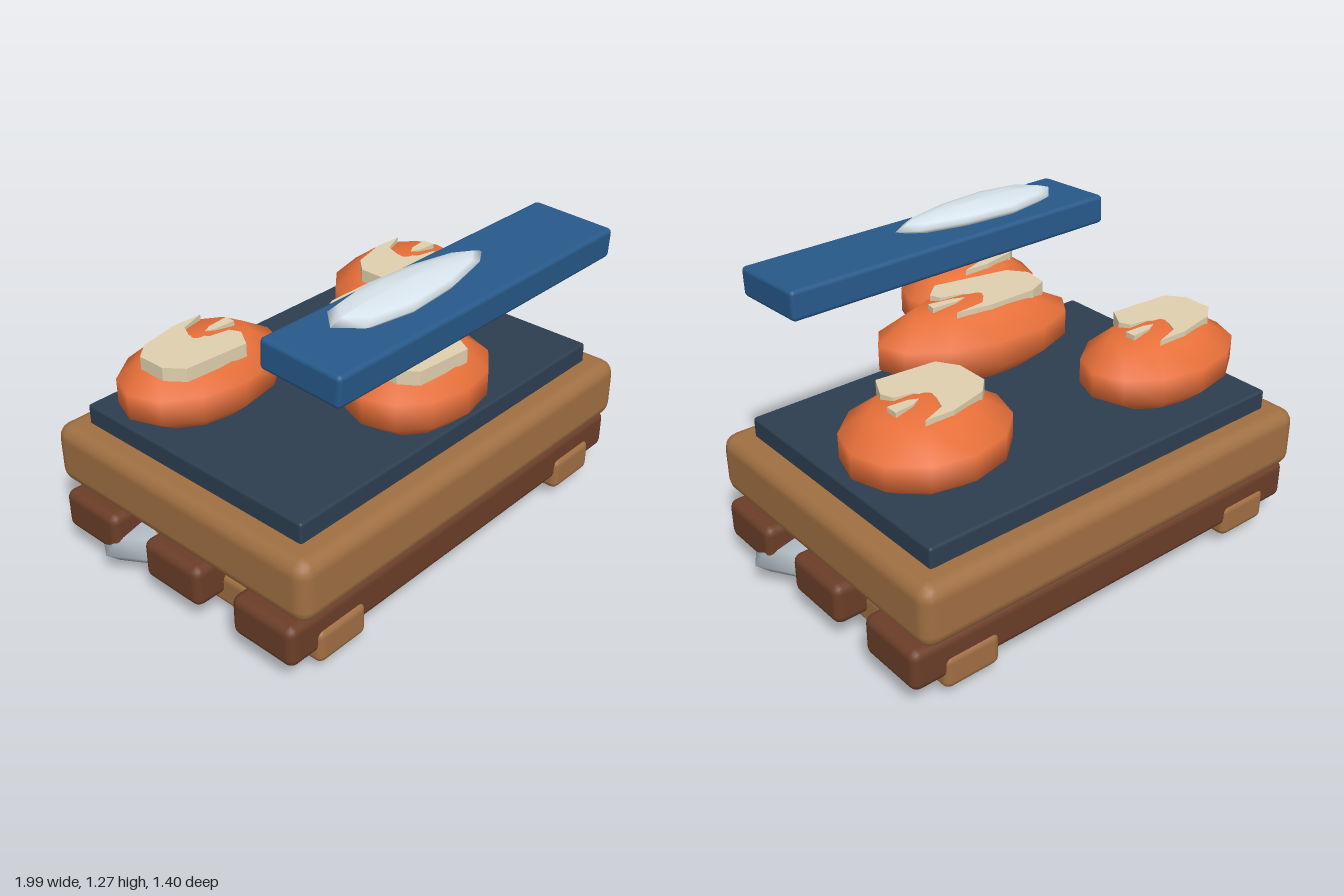
import * as THREE from 'three';
import { RoundedBoxGeometry } from 'three/addons/geometries/RoundedBoxGeometry.js';

const paint = (color) => new THREE.MeshStandardMaterial({ color });
const wood = paint(0xa06f42);
const darkWood = paint(0x6b3e28);
const slate = paint(0x2d3e50);
const blue = paint(0x27598a);
const orange = paint(0xe8703a);
const cream = paint(0xe0d0ae);
const stone = paint(0xa3adb5);
const white = paint(0xd8e4ec);

// Rounded box given by its extents [min, max] on each axis
function slab(name, [x0, x1], [y0, y1], [z0, z1], radius, material) {
  const mesh = new THREE.Mesh(new RoundedBoxGeometry(x1 - x0, y1 - y0, z1 - z0, 2, radius), material);
  mesh.position.set((x0 + x1) / 2, (y0 + y1) / 2, (z0 + z1) / 2);
  mesh.name = name;
  return mesh;
}

// Flattened pebble; taper narrows the +x end
function pebble(name, [x, y, z], [rx, ry, rz], taper, material) {
  const geo = new THREE.SphereGeometry(1, 10, 6);
  const p = geo.attributes.position;
  for (let i = 0; i < p.count; i++) {
    const k = 1 - taper * p.getX(i);
    p.setZ(i, p.getZ(i) * k);
  }
  geo.scale(rx, ry, rz);
  geo.computeVertexNormals();
  const mesh = new THREE.Mesh(geo, material);
  mesh.position.set(x, y, z);
  mesh.name = name;
  return mesh;
}

// Outline of the cream topping, with a curved bite on one side
const toppingOutline = [
  [0.11, -0.115], [-0.02, -0.12], [-0.19, -0.085], [-0.255, -0.03], [-0.255, 0.09], [-0.2, 0.16],
  [0.07, 0.18], [0.12, 0.1], [0.1, 0.055], [0.02, 0.04], [-0.03, -0.02], [0.0, -0.08],
];
const wedgeOutline = [[0.03, 0], [0.07, -0.018], [0.16, -0.025], [0.16, 0.02], [0.07, 0.015]];

function plate(name, outline, bottom, height) {
  const shape = new THREE.Shape(outline.map(([x, z]) => new THREE.Vector2(x / 0.35, -z / 0.243)));
  const geo = new THREE.ExtrudeGeometry(shape, { depth: height, bevelEnabled: false });
  geo.rotateX(-Math.PI / 2);
  geo.translate(0, bottom, 0);
  const mesh = new THREE.Mesh(geo, cream);
  mesh.name = name;
  return mesh;
}

// Orange piece with its topping, modelled in unit size and stretched
function orangePiece([x, y, z], [rx, ry, rz], turn) {
  const piece = new THREE.Group();
  piece.name = 'orangePiece';
  const ring = 1 / Math.sin(Math.PI * 0.4);
  const body = new THREE.Mesh(new THREE.SphereGeometry(1, 12, 5), orange);
  body.scale.set(ring, 1, ring);
  body.name = 'pieceBody';
  piece.add(body, plate('topping', toppingOutline, 0.64, 0.33), plate('toppingWedge', wedgeOutline, 0.7, 0.28));
  piece.scale.set(rx, ry, rz);
  piece.position.set(x, y, z);
  piece.rotation.y = turn;
  return piece;
}

export function createModel() {
  const model = new THREE.Group();
  model.name = 'stackedTray';

  // Main board and the mat on top
  model.add(slab('board', [-0.94, 0.93], [0.295, 0.55], [-0.7, 0.63], 0.06, wood));
  model.add(slab('mat', [-0.84, 0.83], [0.5, 0.63], [-0.6, 0.525], 0.012, slate));

  // Cross planks
  for (const z of [0.435, -0.035, -0.5]) {
    model.add(slab('plank', [-0.96, 0.95], [0.105, 0.275], [z - 0.15, z + 0.15], 0.035, darkWood));
  }

  // Runners below the planks
  for (const x of [-0.713, 0.7]) {
    model.add(slab('runner', [x - 0.122, x + 0.122], [0.055, 0.195], [-0.66, 0.6], 0.03, wood));
  }

  // Flat stones at the bottom
  const stones = [[0.55, 0.32], [0.42, -0.38], [0, -0.09], [-0.55, -0.37], [-0.4, 0.3]];
  for (const [x, z] of stones) {
    model.add(pebble('stone', [x, 0.12, z], [0.445, 0.11, 0.23], 0, stone));
  }

  // Orange pieces: two on the mat, two raised
  model.add(orangePiece([-0.527, 0.757, -0.297], [0.348, 0.163, 0.243], 0));
  model.add(orangePiece([0.525, 0.757, -0.185], [0.325, 0.163, 0.285], 0));
  model.add(orangePiece([0.037, 0.88, 0.153], [0.412, 0.163, 0.215], -0.15));
  model.add(orangePiece([-0.185, 0.88, 0.468], [0.296, 0.163, 0.228], 0));

  // Tilted blue bar with a pale pebble on it
  const bar = slab('bar', [-0.77, 0.755], [1.087, 1.208], [0.282, 0.637], 0.018, blue);
  bar.rotation.x = 0.045;
  model.add(bar);
  model.add(pebble('palePebble', [-0.215, 1.243, 0.45], [0.395, 0.038, 0.115], 0.32, white));

  return model;
}
